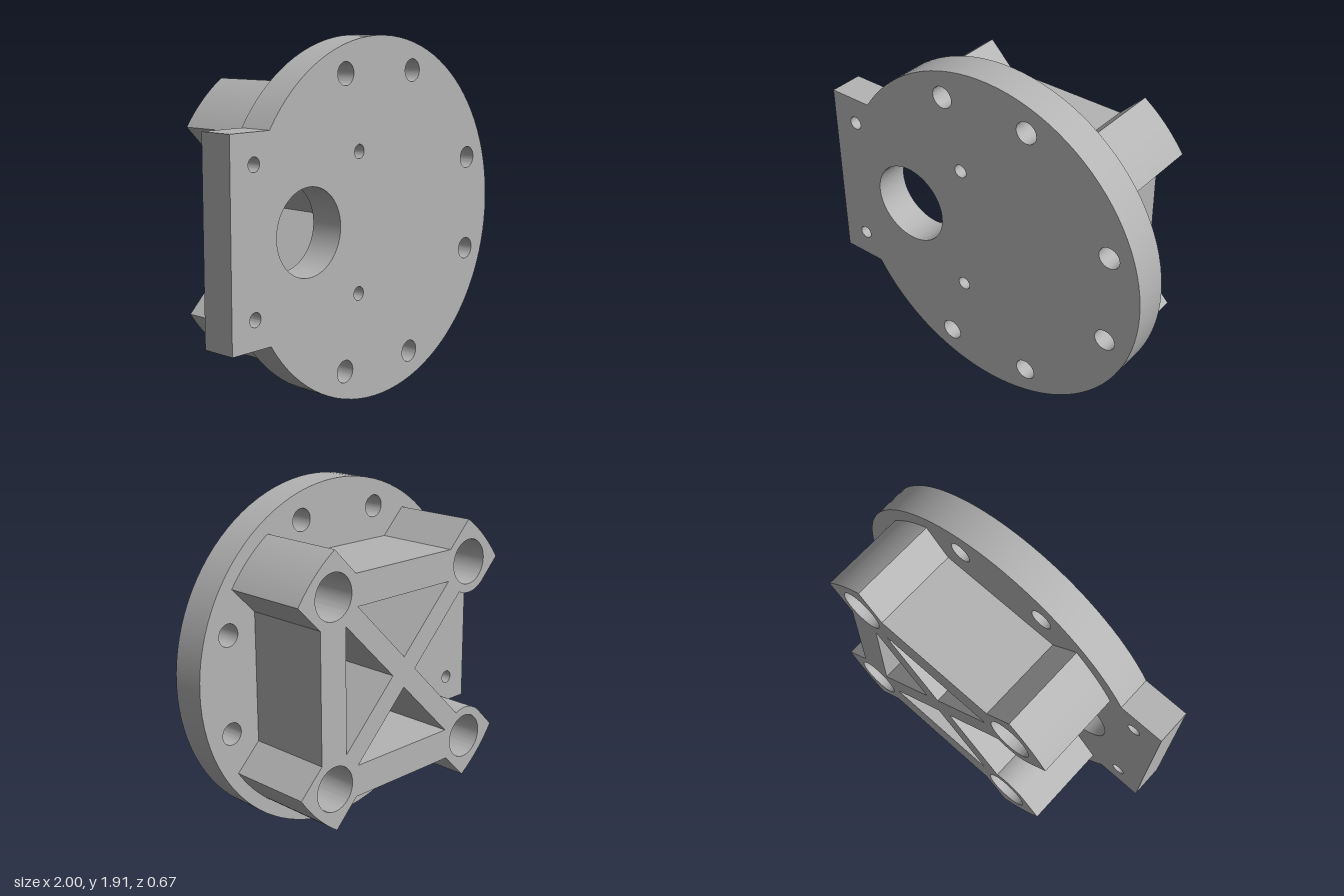
import * as THREE from 'three';
import { toCreasedNormals } from 'three/addons/utils/BufferGeometryUtils.js';

const CX = 0.05, CY = 0.953;            // axis of the round plate
const Z_BACK = -0.335, Z_MID = 0.145, Z_FRONT = 0.335;

function addHole(shape, x, y, r) {
  const path = new THREE.Path();
  path.absarc(x, y, r, 0, Math.PI * 2, true);
  shape.holes.push(path);
}

function extrudePart(name, shape, z0, z1, material) {
  const geo = new THREE.ExtrudeGeometry(shape, { depth: z1 - z0, bevelEnabled: false, curveSegments: 40 });
  const mesh = new THREE.Mesh(toCreasedNormals(geo, 0.4), material);
  mesh.name = name;
  mesh.position.set(CX, CY, z0);
  return mesh;
}

// Round plate with a square tab on one side and all its through holes
function plateShape() {
  const R = 0.953, tab = 0.522, a = Math.asin(tab / R);
  const s = new THREE.Shape();
  s.moveTo(-1.05, tab);
  s.lineTo(-1.05, -tab);
  s.absarc(0, 0, R, -Math.PI + a, Math.PI - a, false);
  s.closePath();
  addHole(s, -0.528, 0, 0.227);
  for (const m of [-1, 1]) {
    addHole(s, -0.9, 0.37 * m, 0.037);
    addHole(s, -0.16, 0.37 * m, 0.037);
    addHole(s, -0.264, 0.767 * m, 0.06);
    addHole(s, 0.261, 0.767 * m, 0.06);
    addHole(s, 0.762, 0.262 * m, 0.06);
  }
  return s;
}

// Four bosses joined by three walls and a cross of ribs, open on the tab side
function frameShape() {
  const R = 0.88;                        // outer arc of the boss ends
  const h = 0.17;                        // boss half width
  const c = 0.5;                         // boss bore offset
  const W = 0.59, w = W - h * Math.SQRT2; // wall outer face and its half length
  const inner = 0.42, g = 0.083;         // wall inner face, rib offset
  const q = Math.PI / 4, e = Math.asin(h / R);
  const t = Math.asin(g / Math.SQRT2 / h);

  const s = new THREE.Shape();
  s.moveTo(W, -w);
  s.lineTo(W, w);
  s.absarc(0, 0, R, q - e, q + e, false);
  s.lineTo(w, W);
  s.lineTo(-w, W);
  s.absarc(0, 0, R, 3 * q - e, 3 * q + e, false);
  s.absarc(-c, c, h, 5 * q, 7 * q - t, false);
  s.lineTo(-g, 0);
  s.absarc(-c, -c, h, q + t, 3 * q, false);
  s.absarc(0, 0, R, 5 * q - e, 5 * q + e, false);
  s.lineTo(-w, -W);
  s.lineTo(w, -W);
  s.absarc(0, 0, R, 7 * q - e, 7 * q + e, false);
  s.closePath();

  // Boss bores
  for (const x of [-c, c]) for (const y of [-c, c]) addHole(s, x, y, 0.122);

  // Triangular pockets on the right, top and bottom
  for (const angle of [0, Math.PI / 2, -Math.PI / 2]) {
    const pts = [[g, 0], [inner, inner - g], [inner, g - inner]].map(
      ([x, y]) => new THREE.Vector2(x, y).rotateAround(new THREE.Vector2(), angle));
    s.holes.push(new THREE.Path(pts));
  }
  return s;
}

export function createModel() {
  const group = new THREE.Group();
  group.name = 'mountingFlange';
  const grey = new THREE.MeshStandardMaterial({ color: 0xb4b4b4 });
  grey.name = 'plain grey';
  group.add(extrudePart('flangePlate', plateShape(), Z_MID, Z_FRONT, grey));
  group.add(extrudePart('ribbedBossFrame', frameShape(), Z_BACK, Z_MID, grey));
  return group;
}
